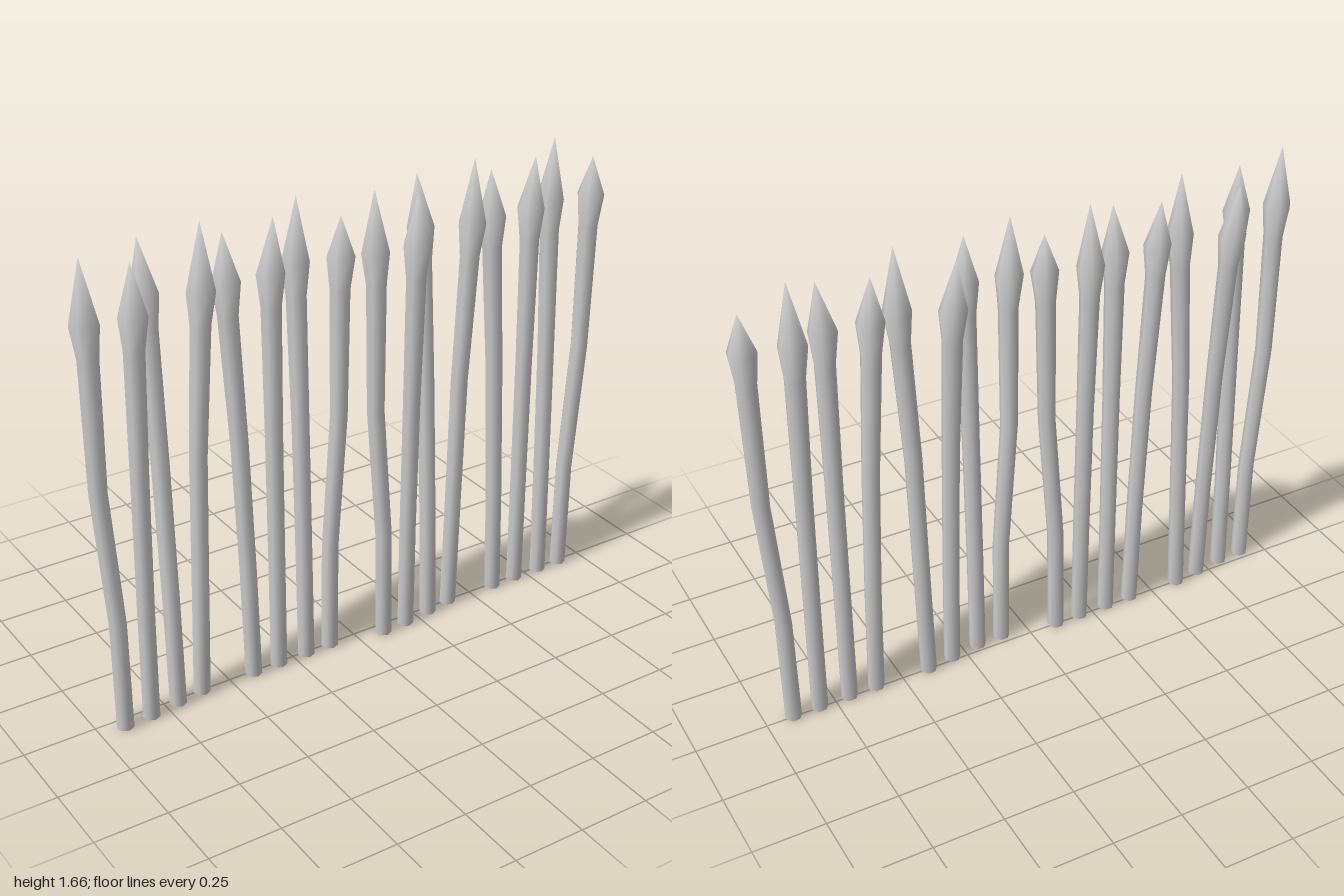
import * as THREE from 'three';
import { mergeVertices, mergeGeometries } from 'three/addons/utils/BufferGeometryUtils.js';

const SIDES = 7;
// Ring heights and radii from the pointed tip down to the foot (tip height varies)
const HEIGHTS = [0, 1.44, 1.33, 0.88, 0.4, 0];
const RADII = [0, 0.047, 0.034, 0.03, 0.029, 0.029];

// Each stake: tip height, then x and z of its centre line from tip to foot
const STAKES = [
  { top: 1.65, x: [-0.96, -0.955, -0.95, -0.948, -0.913, -0.91], z: [0.045, 0.043, 0.042, 0.04, 0.04, 0.04] },
  { top: 1.61, x: [-0.81, -0.81, -0.812, -0.813, -0.813, -0.813], z: [0.066, 0.066, 0.065, 0.052, 0.04, 0.035] },
  { top: 1.62, x: [-0.716, -0.705, -0.705, -0.705, -0.705, -0.705], z: [-0.075, -0.068, -0.056, -0.02, 0.005, 0.018] },
  { top: 1.665, x: [-0.552, -0.555, -0.56, -0.585, -0.596, -0.607], z: [0.015, 0.012, 0.01, 0.006, 0.003, 0.003] },
  { top: 1.6, x: [-0.462, -0.457, -0.455, -0.433, -0.418, -0.41], z: [-0.015, -0.01, -0.008, 0, 0.005, 0.008] },
  { top: 1.62, x: [-0.297, -0.31, -0.31, -0.31, -0.31, -0.31], z: [0.007, 0.007, 0.007, 0.007, 0.007, 0.007] },
  { top: 1.66, x: [-0.198, -0.2, -0.2, -0.2, -0.2, -0.2], z: [-0.02, -0.028, -0.025, -0.01, 0, 0.006] },
  { top: 1.575, x: [-0.055, -0.057, -0.06, -0.066, -0.1, -0.104], z: [0.012, 0.012, 0.011, 0.01, 0.006, 0.005] },
];

// Bends a tapered cylinder along the centre line, then closes the foot
function stakeGeometry({ top, x, z }) {
  const rows = RADII.length - 1;
  let side = new THREE.CylinderGeometry(0, 1, 1, SIDES, rows, true);
  const p = side.attributes.position;
  for (let i = 0; i < p.count; i++) {
    const row = Math.round((0.5 - p.getY(i)) * rows);
    const scale = row ? RADII[row] * rows / row : 0;
    p.setXYZ(i, x[row] + p.getX(i) * scale, row ? HEIGHTS[row] : top, z[row] + p.getZ(i) * scale);
  }
  side.deleteAttribute('uv');
  side.deleteAttribute('normal');
  side = mergeVertices(side, 1e-5);
  side.computeVertexNormals();

  const foot = new THREE.CircleGeometry(RADII[rows], SIDES, Math.PI / 2);
  foot.rotateX(Math.PI / 2).translate(x[rows], 0, z[rows]);
  // Turn the foot so its corners meet the shaft's
  foot.deleteAttribute('uv');
  return mergeGeometries([side, foot]);
}

export function createModel() {
  const group = new THREE.Group();
  group.name = 'palisade';
  const material = new THREE.MeshStandardMaterial({ color: 0xcccccc });
  const geometries = STAKES.map(stakeGeometry);

  // Two identical panels of eight stakes, side by side
  ['rightPanel', 'leftPanel'].forEach((name, n) => {
    const panel = new THREE.Group();
    panel.name = name;
    panel.position.x = n * 1.007;
    geometries.forEach((geometry, i) => {
      const stake = new THREE.Mesh(geometry, material);
      stake.name = `stake${i + 1}`;
      panel.add(stake);
    });
    group.add(panel);
  });
  return group;
}
